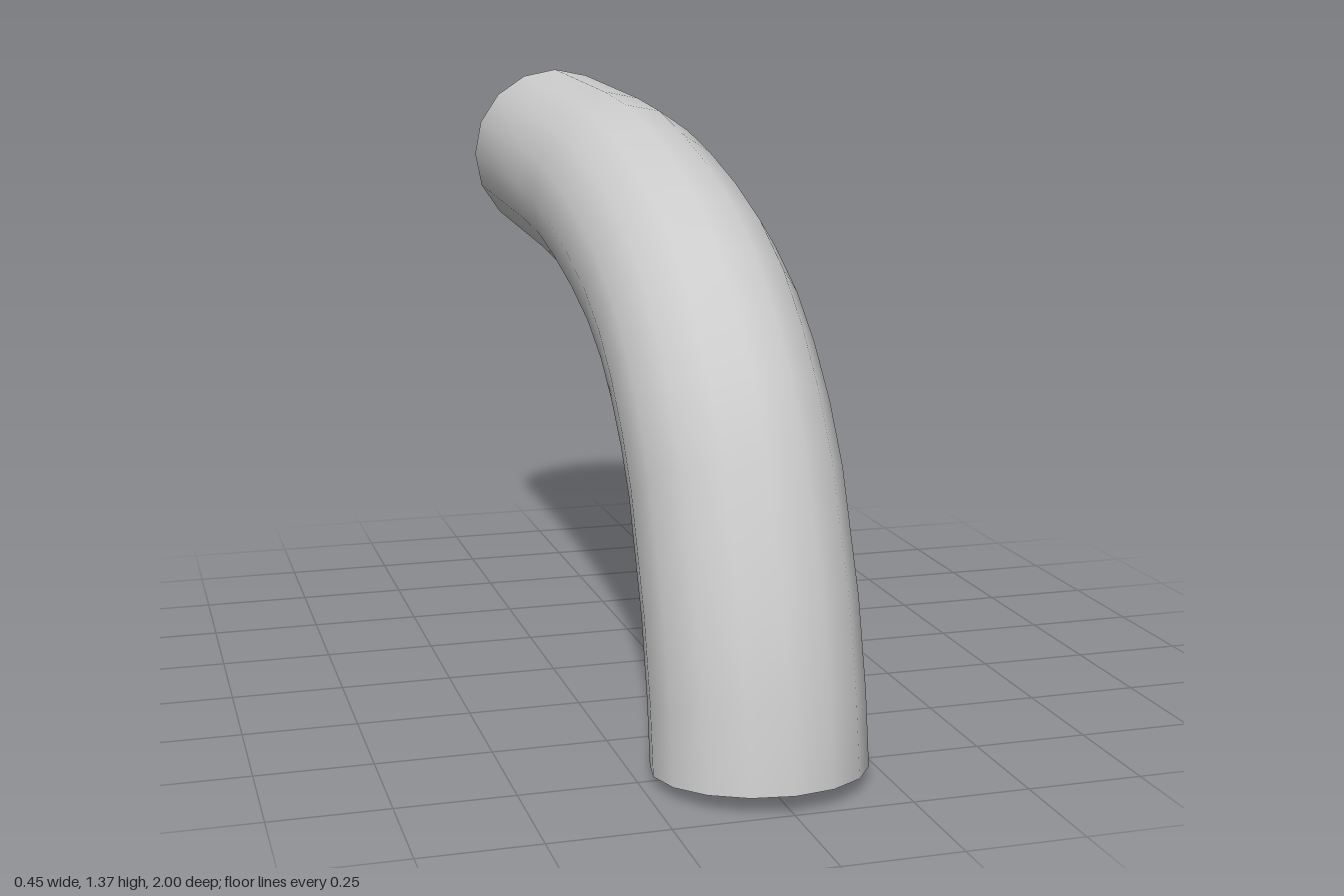
import * as THREE from 'three';

const SIDES = 16, OUTER = 0.225, INNER = 0.205;

// centre line of the bend as [z, y], from the lower mouth to the rear mouth
const PATH = [
  [0.778, 0.024], [0.755, 0.17], [0.71, 0.342], [0.61, 0.584], [0.54, 0.69],
  [0.45, 0.79], [0.35, 0.873], [0.22, 0.946], [0.06, 1.005], [-0.12, 1.056],
  [-0.29, 1.093], [-0.474, 1.112], [-0.998, 1.146],
].map(([z, y]) => new THREE.Vector3(0, y, z));

// directions in which the pipe leaves its two mouths
const START = new THREE.Vector3(0, 1, -0.09).normalize();
const END = new THREE.Vector3(0, 0.01, -1).normalize();

// circle of points square to the centre line at step i
function ring(i, radius) {
  const last = PATH.length - 1;
  const t = i === 0 ? START : i === last ? END
    : PATH[i + 1].clone().sub(PATH[i - 1]).normalize();
  const normal = new THREE.Vector3(0, -t.z, t.y);
  return Array.from({ length: SIDES }, (_, k) => {
    const a = (k / SIDES) * Math.PI * 2;
    const p = PATH[i].clone().addScaledVector(normal, radius * Math.cos(a));
    p.x = radius * Math.sin(a);
    return p;
  });
}

// smooth skin through a list of rings
function skin(name, rings, material) {
  const index = [];
  for (let j = 0; j < rings.length - 1; j++) {
    for (let k = 0; k < SIDES; k++) {
      const n = (k + 1) % SIDES;
      const a = j * SIDES + k, b = j * SIDES + n;
      index.push(a, b, b + SIDES, a, b + SIDES, a + SIDES);
    }
  }
  const geometry = new THREE.BufferGeometry().setFromPoints(rings.flat());
  geometry.setIndex(index);
  geometry.computeVertexNormals();
  const mesh = new THREE.Mesh(geometry, material);
  mesh.name = name;
  return mesh;
}

export function createModel() {
  const group = new THREE.Group();
  group.name = 'bentPipe';
  const material = new THREE.MeshStandardMaterial({ color: 0xcccccc });

  const outer = PATH.map((_, i) => ring(i, OUTER));
  const inner = PATH.map((_, i) => ring(i, INNER));
  const last = PATH.length - 1;

  group.add(
    skin('outerWall', outer, material),
    skin('bore', [...inner].reverse(), material), // reversed so it faces inward
    skin('lowerRim', [inner[0], outer[0]], material),
    skin('rearRim', [outer[last], inner[last]], material),
  );
  return group;
}
